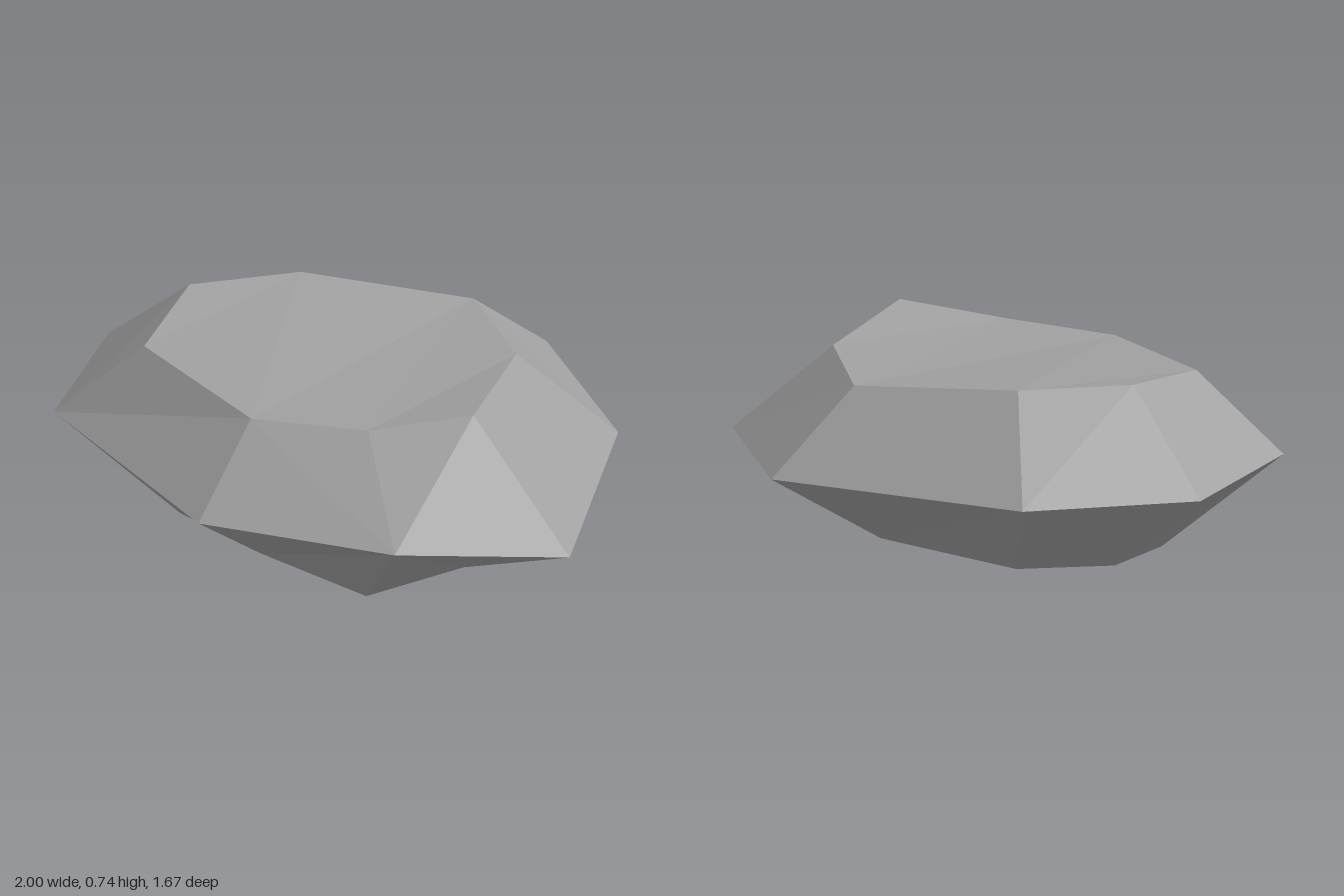
import * as THREE from 'three';

// Eight-sided cross-sections of the stone, from bottom to top: [x, y, z]
const BASE = [[0.55, 0.1, 0.36], [0.22, 0, 0.47], [-0.17, 0.1, 0.43], [-0.55, 0.03, 0.08],
  [-0.52, 0.05, -0.27], [-0.23, 0.06, -0.48], [0.31, 0.1, -0.44], [0.53, 0.03, -0.12]];
const GIRDLE = [[1, 0.34, 0.63], [0.41, 0.38, 0.83], [-0.32, 0.385, 0.77], [-1, 0.41, 0.13],
  [-0.95, 0.4, -0.5], [-0.41, 0.39, -0.84], [0.57, 0.39, -0.82], [0.97, 0.38, -0.24]];
const CROWN = [[0.59, 0.73, 0.38], [0.23, 0.675, 0.48], [-0.2, 0.665, 0.47], [-0.68, 0.695, 0.09],
  [-0.61, 0.74, -0.31], [-0.25, 0.73, -0.51], [0.37, 0.685, -0.54], [0.62, 0.7, -0.15]];

// Zigzag triangles that close an eight-sided ring
const TOP_CAP = [[0, 1, 7], [1, 6, 7], [1, 2, 6], [2, 5, 6], [2, 3, 5], [3, 4, 5]];
const BOTTOM_CAP = [[0, 1, 7], [1, 2, 7], [2, 6, 7], [2, 5, 6], [2, 3, 5], [3, 4, 5]];

function facets(name, points, triangles, material) {
  const geometry = new THREE.BufferGeometry();
  geometry.setAttribute('position', new THREE.Float32BufferAttribute(points.flat(), 3));
  geometry.setIndex(triangles.flat());
  const flat = geometry.toNonIndexed();
  flat.computeVertexNormals();
  const mesh = new THREE.Mesh(flat, material);
  mesh.name = name;
  return mesh;
}

// Band of facets between two rings; the diagonals alternate direction
function band(name, lower, upper, parity, material) {
  const triangles = [];
  for (let i = 0; i < 8; i++) {
    const j = (i + 1) % 8;
    const a = i, b = j, c = i + 8, d = j + 8;
    if (i % 2 === parity) triangles.push([b, a, d], [a, c, d]);
    else triangles.push([b, a, c], [b, c, d]);
  }
  return facets(name, [...lower, ...upper], triangles, material);
}

export function createModel() {
  const stone = new THREE.MeshStandardMaterial({ color: 0xa0a0a0 });
  stone.name = 'grey stone';
  stone.flatShading = true;

  const rock = new THREE.Group();
  rock.name = 'rock';
  rock.add(
    facets('underside', BASE, BOTTOM_CAP, stone),
    band('lowerFacets', BASE, GIRDLE, 0, stone),
    band('upperFacets', GIRDLE, CROWN, 1, stone),
    facets('topFace', CROWN, TOP_CAP.map(([a, b, c]) => [b, a, c]), stone),
  );
  return rock;
}
